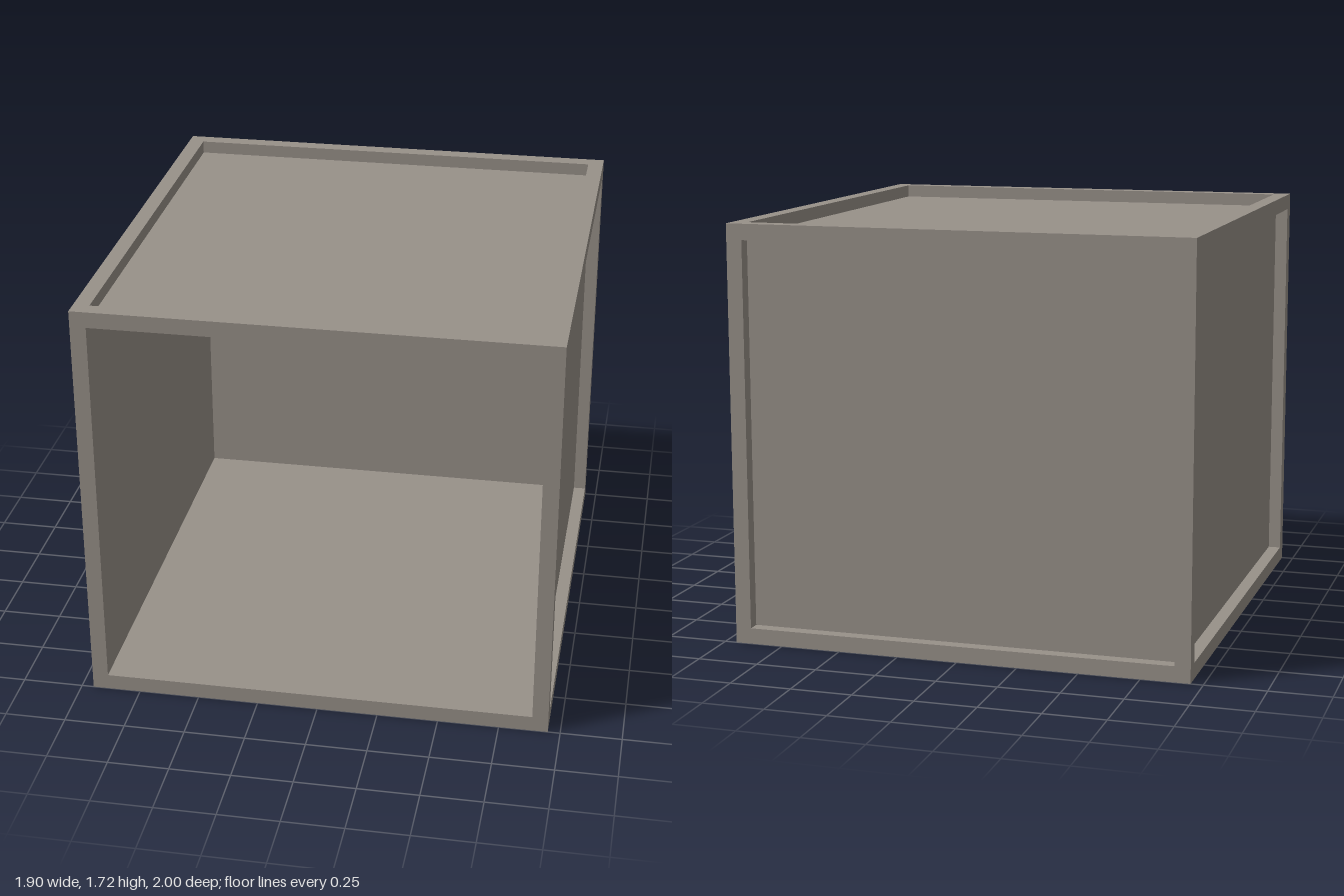
import * as THREE from 'three';

const W = 1.9, H = 1.72, D = 2; // outer size
const T = 0.065;                // frame bar thickness
const P = 0.012;                // panel thickness, flush with the frame's inside

export function createModel() {
  const model = new THREE.Group();
  model.name = 'openBox';
  const greyStone = new THREE.MeshStandardMaterial({ color: 0x989189 });
  greyStone.name = 'warmGrey';

  const frame = new THREE.Group();
  frame.name = 'frame';
  const panels = new THREE.Group();
  panels.name = 'panels';
  model.add(frame, panels);

  const addBox = (parent, name, size, pos) => {
    const mesh = new THREE.Mesh(new THREE.BoxGeometry(...size), greyStone);
    mesh.name = name;
    mesh.position.set(...pos);
    parent.add(mesh);
  };

  // Inner opening sizes and bar centre lines
  const iw = W - 2 * T, ih = H - 2 * T, id = D - 2 * T;
  const bx = (W - T) / 2, by = (H - T) / 2, bz = (D - T) / 2, cy = H / 2;

  // Twelve frame bars: full-height posts with rails fitted between them
  for (const a of [-1, 1]) {
    for (const b of [-1, 1]) {
      addBox(frame, 'post', [T, H, T], [a * bx, cy, b * bz]);
      addBox(frame, 'crossRail', [iw, T, T], [0, cy + a * by, b * bz]);
      addBox(frame, 'sideRail', [T, T, id], [a * bx, cy + b * by, 0]);
    }
  }

  // Recessed panels on every side but the open front
  for (const s of [-1, 1]) {
    addBox(panels, s > 0 ? 'leftPanel' : 'rightPanel', [P, ih, id], [s * (iw + P) / 2, cy, 0]);
    addBox(panels, s > 0 ? 'topPanel' : 'bottomPanel', [iw, P, id], [0, cy + s * (ih + P) / 2, 0]);
  }
  addBox(panels, 'backPanel', [iw, ih, P], [0, cy, -(id + P) / 2]);

  return model;
}
